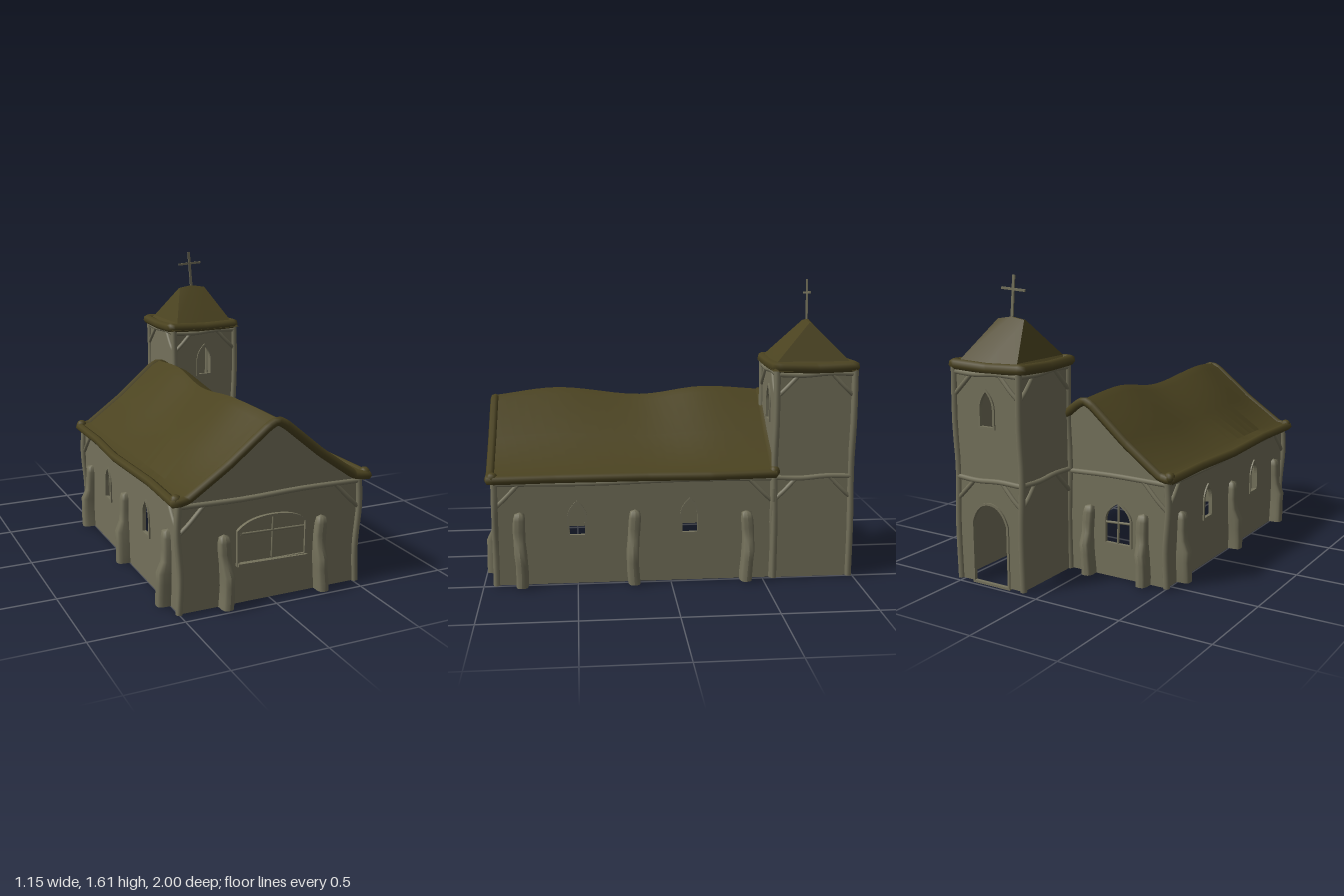
import * as THREE from 'three';
import { toCreasedNormals } from 'three/addons/utils/BufferGeometryUtils.js';

const mat = (name, color) => new THREE.MeshStandardMaterial({ name, color, side: THREE.DoubleSide });
const V = (x, y, z) => new THREE.Vector3(x, y, z);

export function createModel() {
  const plaster = mat('plaster', 0x74715b);
  const timber = mat('timber', 0x75725c);
  const shingle = mat('shingle', 0x4b4320);
  const model = new THREE.Group();
  model.name = 'chapel';

  const add = (parent, name, geo, material) => {
    const m = new THREE.Mesh(geo, material);
    m.name = name;
    parent.add(m);
    return m;
  };
  const beam = (parent, name, pts, r, material = timber, closed = false, seg = 12) =>
    add(parent, name, new THREE.TubeGeometry(
      new THREE.CatmullRomCurve3(pts, closed, 'catmullrom', closed ? 0.08 : 0.5), seg, r, 7, closed), material);

  // Arched outline: bend 1 gives a pointed top, 0 a broad one
  function arch(x, y0, w, spring, top, bend = 1, grow = 0) {
    const h = w / 2 + grow, b = y0 - grow, t = top + grow;
    const cx = bend ? h * 0.95 : h * 0.7, cy = bend ? (spring + t) / 2 + 0.005 : t;
    const s = new THREE.Shape();
    s.moveTo(x - h, b);
    s.lineTo(x + h, b);
    s.lineTo(x + h, spring);
    s.quadraticCurveTo(x + cx, cy, x, t);
    s.quadraticCurveTo(x - cx, cy, x - h, spring);
    s.closePath();
    return s;
  }
  function frame(parent, args, z = -0.012, depth = 0.02) {
    const s = arch(...args, 0.013);
    s.holes.push(arch(...args));
    add(parent, 'openingFrame', new THREE.ExtrudeGeometry(s, { depth, bevelEnabled: false, curveSegments: 8 }), timber)
      .position.z = z;
  }

  // Wall in its own XY plane, facing local +z, turned into place
  function wall(name, pos, turn, pts, openings = []) {
    const g = new THREE.Group();
    g.name = name;
    g.position.set(...pos);
    g.rotation.y = turn;
    model.add(g);
    const s = new THREE.Shape(pts.map(p => new THREE.Vector2(...p)));
    for (const o of openings) {
      s.holes.push(arch(...o));
      frame(g, o);
    }
    add(g, 'wallPanel', new THREE.ShapeGeometry(s, 8), plaster);
    return g;
  }
  // Top rail with curved corner braces
  function framing(g, hw, y, reach) {
    beam(g, 'rail', [V(-hw, y, 0), V(-hw / 3, y - 0.006, 0.003), V(hw / 3, y + 0.004, 0.002), V(hw, y, 0)], 0.014);
    for (const s of [-1, 1])
      beam(g, 'brace', [V(s * hw, y - reach, 0), V(s * (hw - reach * 0.4), y - reach * 0.62, 0.004),
        V(s * (hw - reach), y, 0)], 0.012);
  }
  // Lumpy stepped buttress standing against a wall
  function buttress(g, x, h, seed) {
    const prof = [[1, 0], [1.02, 0.12], [0.95, 0.3], [1.02, 0.45], [0.92, 0.6], [1, 0.75], [0.95, 0.9], [0.65, 0.98], [0, 1]];
    const geo = new THREE.LatheGeometry(prof.map(p => new THREE.Vector2(p[0], p[1])), 16);
    const p = geo.attributes.position;
    const square = v => Math.sign(v) * Math.pow(Math.abs(v), 0.6);
    for (let i = 0; i < p.count; i++) {
      const t = p.getY(i);
      const depth = 0.037 + 0.031 * (1 - THREE.MathUtils.smoothstep(t, 0.45, 0.65));
      p.setXYZ(i, x + square(p.getX(i)) * 0.033 + 0.007 * Math.sin(t * 5 + seed), t * h, square(p.getZ(i)) * depth);
    }
    geo.computeVertexNormals();
    add(g, 'buttress', geo, plaster);
  }

  // Nave walls
  const HW = 0.505, Z0 = -0.55, Z1 = 0.93, ZC = (Z0 + Z1) / 2, HL = (Z1 - Z0) / 2;
  const gable = [[-HW, 0], [HW, 0], [HW, 0.575], [0, 0.92], [-HW, 0.575]];
  const long = [[-HL, 0], [HL, 0], [HL, 0.58], [-HL, 0.58]];
  const front = wall('frontWall', [0, 0, Z1], 0, gable);
  const backWindow = [0.21, 0.19, 0.15, 0.32, 0.41, 1];
  const back = wall('backWall', [0, 0, Z0], Math.PI, gable, [backWindow]);
  for (const g of [front, back]) framing(g, HW, 0.555, 0.14);
  [[-0.26, 0.38], [0.28, 0.4]].forEach(([x, h], i) => buttress(front, x, h, i * 2));
  [[0.37, 0.38], [0.03, 0.38]].forEach(([x, h], i) => buttress(back, x, h, i + 1));
  beam(back, 'windowBar', [V(0.21, 0.19, 0), V(0.215, 0.41, 0)], 0.007);
  beam(back, 'windowBar', [V(0.13, 0.3, 0), V(0.29, 0.31, 0)], 0.007);

  for (const s of [-1, 1]) {
    const g = wall(s > 0 ? 'rightWall' : 'leftWall', [s * HW, 0, ZC], s * Math.PI / 2, long,
      [0.5, -0.1].map(z => [-s * (z - ZC), 0.27, 0.08, 0.365, 0.445, 1]));
    framing(g, HL, 0.555, 0.13);
    [0.8, 0.2, -0.41].forEach((z, i) => buttress(g, -s * (z - ZC), 0.4 - (i === 2 ? 0.02 : 0), i * 2 + s));
    for (const z of [Z0, Z1])
      beam(model, 'cornerPost', [V(s * HW, 0, z), V(s * (HW - 0.008), 0.2, z), V(s * (HW + 0.008), 0.42, z),
        V(s * HW, 0.58, z)], 0.018);
  }

  // Broad front window with bars and sill
  const fw = [0, 0.215, 0.37, 0.39, 0.44, 0];
  add(front, 'windowPane', new THREE.ShapeGeometry(arch(...fw), 8), plaster).position.z = 0.006;
  frame(front, fw, 0, 0.018);
  beam(front, 'windowBar', [V(0, 0.215, 0.007), V(0.004, 0.44, 0.007)], 0.006);
  beam(front, 'windowBar', [V(-0.18, 0.37, 0.007), V(0.18, 0.36, 0.007)], 0.006);
  const sill = add(front, 'windowSill', new THREE.BoxGeometry(0.39, 0.016, 0.04), timber);
  sill.position.set(0, 0.208, 0.012);
  sill.rotation.z = -0.025;

  // Sagging nave roof, lofted along a crooked ridge
  const ridge = new THREE.CatmullRomCurve3([V(-0.01, 0.955, -0.56), V(-0.015, 0.975, -0.22), V(-0.03, 0.932, 0.13),
    V(-0.05, 0.975, 0.6), V(0.01, 0.945, 0.95)]);
  const section = c => {
    const half = s => {
      const e = s * (0.535 + 0.012 * Math.cos(c.z * 6 + s)), k = s * 0.465, r = c.x + s * 0.05;
      return [[e, 0.598], [k, 0.61], [k + (r - k) * 0.5, 0.755 + (c.y - 0.95) * 0.4], [r, c.y - 0.025]];
    };
    return [...half(-1), [c.x, c.y], ...half(1).reverse()].map(p => V(p[0], p[1], c.z));
  };
  const N = 24, tops = [];
  for (let i = 0; i <= N; i++) tops.push(section(ridge.getPoint(i / N)));
  const rings = tops.map(t => [...t, ...t.map(p => V(p.x, p.y - 0.035, p.z)).reverse()]);
  const n = rings[0].length, pos = rings.flat().flatMap(p => p.toArray()), idx = [];
  for (let i = 0; i < N; i++) for (let j = 0; j < n; j++) {
    const a = i * n + j, b = i * n + (j + 1) % n;
    idx.push(a, a + n, b, b, a + n, b + n);
  }
  for (let j = 0; j < n / 2 - 1; j++) {
    const a = j, b = j + 1, c = n - 1 - j, d = n - 2 - j, o = N * n;
    idx.push(a, b, c, b, d, c, o + a, o + c, o + b, o + b, o + c, o + d);
  }
  const roofGeo = new THREE.BufferGeometry();
  roofGeo.setAttribute('position', new THREE.Float32BufferAttribute(pos, 3));
  roofGeo.setIndex(idx);
  add(model, 'naveRoof', toCreasedNormals(roofGeo, 0.5), shingle);

  // Rounded trim along eaves and gables
  const last = tops[0].length - 1;
  const edge = [...tops[N], ...[18, 12, 6].map(i => tops[i][last]), ...[...tops[0]].reverse(),
    ...[6, 12, 18].map(i => tops[i][0])].map(p => V(p.x, p.y - 0.012, p.z));
  beam(model, 'roofTrim', edge, 0.024, shingle, true, 220);
  for (const i of [0, N]) for (const j of [0, last]) {
    const p = tops[i][j];
    add(model, 'trimEnd', new THREE.SphereGeometry(0.03, 10, 8), shingle).position.set(p.x * 0.98, p.y - 0.002, p.z * 0.985);
  }

  // Tower: four walls, each with two storeys of framing
  const TX = 0.305, TZ = -0.765, T = 0.208, TH = 1.14;
  const panel = [[-T, 0], [T, 0], [T, TH], [-T, TH]];
  const belfry = [0, 0.845, 0.08, 0.94, 1.025, 1];
  const doorway = [0, 0.005, 0.22, 0.33, 0.43, 0];
  ['Front', 'Right', 'Back', 'Left'].forEach((side, k) => {
    const a = k * Math.PI / 2;
    const g = wall('tower' + side + 'Wall', [TX + T * Math.sin(a), 0, TZ + T * Math.cos(a)], a, panel,
      k === 0 ? [belfry] : k === 2 ? [belfry, doorway] : []);
    framing(g, T, 0.56, 0.12);
    framing(g, T, 1.115, 0.12);
    const px = TX + T * (k % 3 ? 1 : -1), pz = TZ + T * (k < 2 ? 1 : -1);
    beam(model, 'towerPost', [V(px, 0, pz), V(px + 0.005, 0.3, pz), V(px - 0.004, 0.6, pz + 0.004),
      V(px + 0.005, 0.85, pz), V(px, TH, pz)], 0.018);
  });

  // Hipped tower roof with short ridge
  const cap = new THREE.BoxGeometry(1, 1, 1, 2, 2, 1);
  const rows = [[0.232, 0.222, 1.135], [0.182, 0.192, 1.178], [0.086, 0.006, 1.372]];
  const cp = cap.attributes.position;
  for (let i = 0; i < cp.count; i++) {
    const [hx, hz, y] = rows[Math.round(cp.getY(i) * 2 + 1)];
    const peak = y > 1.3 && Math.abs(cp.getX(i)) < 0.1 ? 0.014 : 0;
    cp.setXYZ(i, TX + cp.getX(i) * 2 * hx, y + peak, TZ + 0.01 + cp.getZ(i) * 2 * hz);
  }
  add(model, 'towerRoof', toCreasedNormals(cap, 0.4), shingle);
  const q = [[-1, 1], [0, 1], [1, 1], [1, 0], [1, -1], [0, -1], [-1, -1], [-1, 0]];
  beam(model, 'towerRoofTrim', q.map(([x, z]) => V(TX - 0.008 + x * 0.217, 1.145 + (x && z ? 0.008 : 0), TZ + z * 0.207)),
    0.028, shingle, true, 96);

  // Slightly crooked cross on the ridge
  const cross = new THREE.Group();
  cross.name = 'roofCross';
  cross.position.set(0.303, 1.37, -0.755);
  cross.rotation.z = 0.085;
  add(cross, 'crossUpright', new THREE.BoxGeometry(0.015, 0.23, 0.008), timber).position.y = 0.115;
  const bar = add(cross, 'crossBar', new THREE.BoxGeometry(0.15, 0.013, 0.008), timber);
  bar.position.y = 0.157;
  bar.rotation.z = -0.02;
  model.add(cross);

  return model;
}
